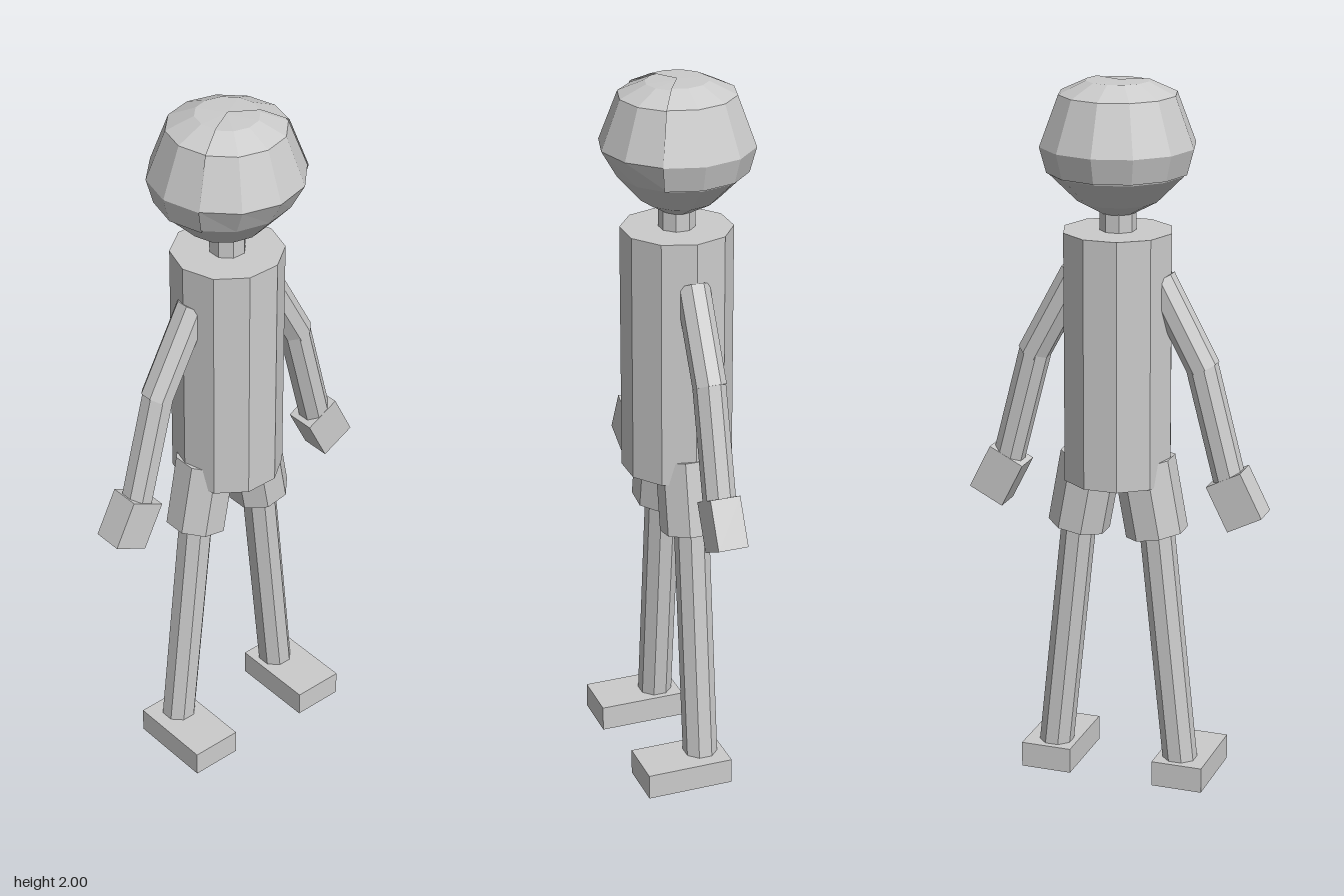
import * as THREE from 'three';

export function createModel() {
  const root = new THREE.Group();
  const mat = new THREE.MeshStandardMaterial({ color: 0xcccccc, flatShading: true, side: THREE.DoubleSide });
  const v2 = (p) => new THREE.Vector2(p[0], p[1]);

  const add = (name, geo, parent = root) => {
    const m = new THREE.Mesh(geo, mat);
    m.name = name;
    parent.add(m);
    return m;
  };

  // Faceted prism between two points in the xy plane, one flat facing the front
  const limb = (name, [x0, y0], [x1, y1], r, sides, parent) => {
    const a = new THREE.Vector3(x0, y0, 0), b = new THREE.Vector3(x1, y1, 0);
    const dir = b.clone().sub(a);
    const geo = new THREE.CylinderGeometry(r, r, dir.length(), sides);
    geo.rotateY(Math.PI / sides);
    const m = add(name, geo, parent);
    m.position.copy(a).add(b).multiplyScalar(0.5);
    m.quaternion.setFromUnitVectors(new THREE.Vector3(0, 1, 0), dir.normalize());
    return m;
  };

  // Head: low-poly globe, chin drawn in at the front
  const headGeo = new THREE.LatheGeometry([
    [0, 1.635], [0.045, 1.64], [0.11, 1.675], [0.185, 1.75], [0.21, 1.825],
    [0.158, 1.96], [0.085, 1.993], [0, 1.996],
  ].map(v2), 12);
  const p = headGeo.attributes.position;
  for (let i = 0; i < p.count; i++) {
    if (p.getY(i) < 1.8 && p.getZ(i) > 0) p.setZ(i, p.getZ(i) * 0.9);
  }
  add('head', headGeo);

  // Hair: thin cap over the sides and back, open at the face
  add('hair', new THREE.LatheGeometry([
    [0.185, 1.755], [0.194, 1.755], [0.213, 1.825], [0.161, 1.963], [0.086, 1.998], [0, 2.0],
  ].map(v2), 8, Math.PI / 3, Math.PI * 4 / 3));

  limb('neck', [0, 1.56], [0, 1.68], 0.05, 8);
  limb('torso', [0, 0.895], [0, 1.593], 0.153, 10);

  // Arms and legs, mirrored
  for (const s of [1, -1]) {
    const side = s > 0 ? 'left' : 'right';

    const arm = new THREE.Group();
    arm.name = side + 'Arm';
    root.add(arm);
    limb('upperArm', [s * 0.247, 1.226], [s * 0.118, 1.465], 0.046, 8, arm);
    limb('forearm', [s * 0.323, 0.92], [s * 0.241, 1.235], 0.045, 8, arm);
    const hand = add('hand', new THREE.BoxGeometry(0.108, 0.138, 0.085), arm);
    hand.position.set(s * 0.348, 0.867, 0);
    hand.rotation.z = s * 0.47;

    const leg = new THREE.Group();
    leg.name = side + 'Leg';
    root.add(leg);
    limb('shortsLeg', [s * 0.115, 0.743], [s * 0.077, 0.95], 0.087, 8, leg);
    limb('lowerLeg', [s * 0.188, 0.06], [s * 0.112, 0.78], 0.049, 8, leg);
    const foot = add('foot', new THREE.BoxGeometry(0.147, 0.073, 0.248), leg);
    foot.position.set(s * 0.197, 0.0365, 0.06);
  }
  return root;
}
